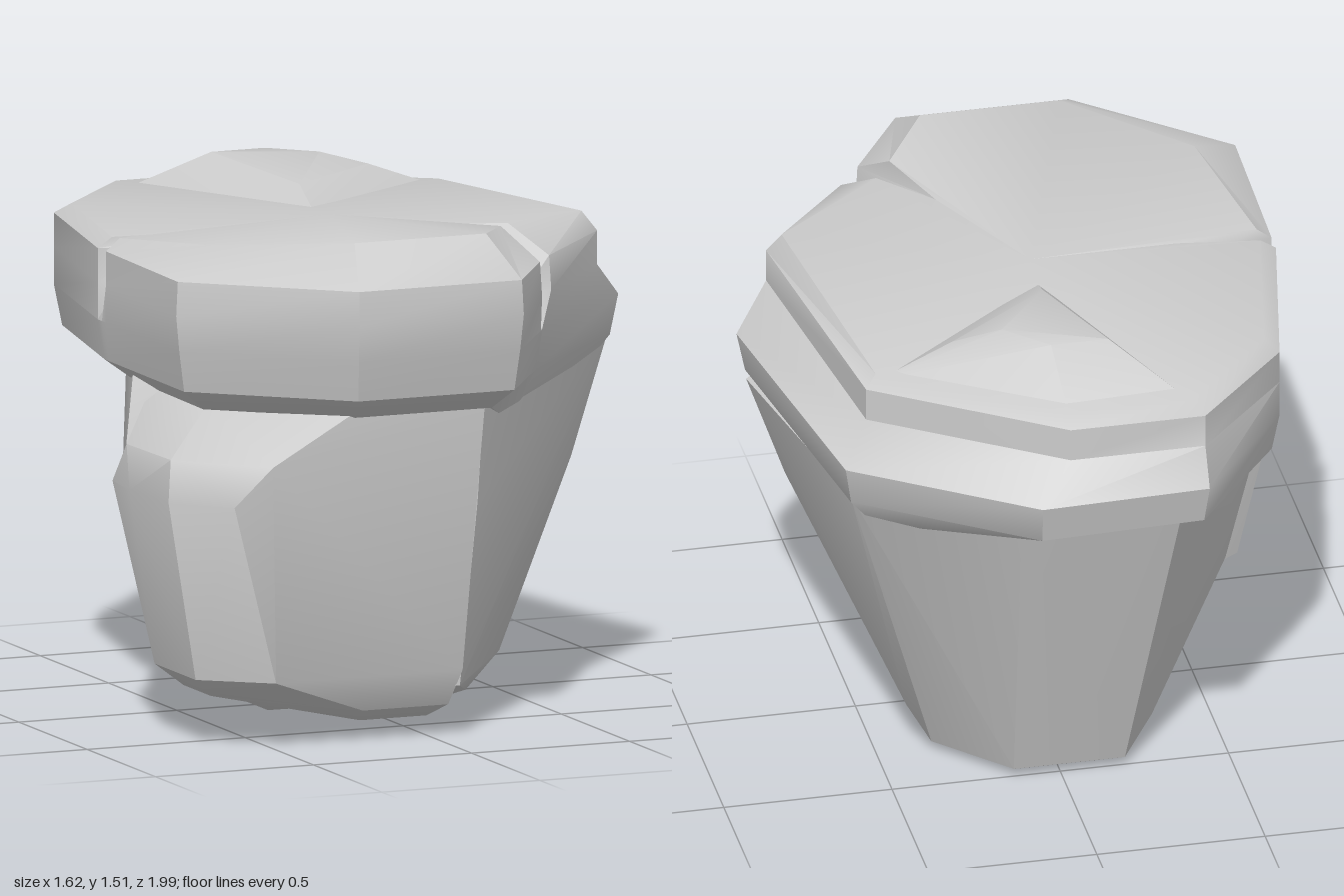
import * as THREE from 'three';
import { ConvexGeometry } from 'three/addons/geometries/ConvexGeometry.js';
import { toCreasedNormals } from 'three/addons/utils/BufferGeometryUtils.js';

const stone = new THREE.MeshStandardMaterial({ color: 0xcccccc });

function addPart(group, name, geometry) {
  const mesh = new THREE.Mesh(toCreasedNormals(geometry, 0.6), stone);
  mesh.name = name;
  group.add(mesh);
}

// One level of corners [x, z] at height y
function level(y, corners) {
  return corners.map(([x, z]) => new THREE.Vector3(x, y, z));
}

// Skin over rings of points, closed by a fan at both ends
function loft(rings, bottom, top) {
  const n = rings[0].length;
  const low = rings.length * n;
  const index = [];
  for (let i = 0; i < n; i++) {
    const j = (i + 1) % n;
    for (let a = i, b = j; a < low - n; a += n, b += n) {
      index.push(a, a + n, b, b, a + n, b + n);
    }
    index.push(low, i, j, low + 1, low - n + j, low - n + i);
  }
  const geometry = new THREE.BufferGeometry();
  geometry.setFromPoints([...rings.flat(), bottom, top]);
  geometry.setIndex(index);
  return geometry;
}

// Tapering main body with its small foot
function mainBody() {
  const foot = [[0.34, 0.17], [0.34, -0.3], [0.14, -0.51], [-0.19, -0.51], [-0.32, -0.28], [-0.32, 0.15]];
  const sole = foot.map(([x, z]) => [x * 0.8, -0.17 + (z + 0.17) * 0.85]);
  return new ConvexGeometry([
    ...level(1.04, [[0.12, 0.82], [0.79, 0.16], [0.64, -0.58], [0.19, -0.85], [-0.3, -0.82], [-0.68, 0.1]]),
    ...level(0.7, [[0.11, 0.79], [0.67, 0.18], [-0.76, 0.2]]),
    ...level(0.2, [[-0.67, 0.3]]),
    ...level(0.15, [[0.08, 0.73], [0.42, 0.23], [0.41, -0.28], [0.14, -0.53], [-0.2, -0.53], [-0.37, -0.25]]),
    ...level(0.03, foot),
    ...level(0, sole),
  ]);
}

// Front block bulging out under the cap, with a narrow toe
function frontBlock() {
  return new ConvexGeometry([
    ...level(0.99, [[-0.3, 0.82], [0.12, 0.82], [-0.62, 0.5], [-0.62, 0.1], [0.1, 0.1]]),
    ...level(0.85, [[-0.55, 0.82], [-0.77, 0.58], [-0.78, 0.28]]),
    ...level(0.73, [[-0.65, 0.77], [-0.79, 0.61], [-0.81, 0.37], [-0.79, 0.2]]),
    ...level(0.2, [[-0.51, 0.75], [0.08, 0.75], [-0.7, 0.6], [-0.7, 0.3]]),
    ...level(0.14, [[-0.63, 0.55], [-0.63, 0.35], [-0.45, 0.22], [0.08, 0.22]]),
    ...level(0.09, [[-0.21, 0.69], [0.06, 0.69]]),
    ...level(0.045, [[-0.18, 0.6], [0.03, 0.6], [-0.18, 0.33], [0.03, 0.33]]),
  ]);
}

// Overhanging cap, split by a crack at the front right and one on the left
function cap() {
  // Outline from the back left, past the right and front, to the left
  const outline = [
    [-0.34, -0.98], [0.16, -1], [0.67, -0.65], [0.81, 0.2],
    [0.41, 0.635], [0.37, 0.69], [0.34, 0.73], [0.17, 0.99], [-0.35, 0.99],
    [-0.77, 0.62], [-0.75, 0.06], [-0.75, 0.03], [-0.75, 0], [-0.63, -0.6],
  ];
  // The first corners step inwards at the upper rim
  const rim = [[-0.34, -0.92], [0.06, -0.92], [0.59, -0.56], [0.7, 0.3]];
  // Outline corners that sink towards the inner end of a crack
  const crackEnds = { 5: [0.18, 0.37], 11: [-0.46, 0.03] };
  // Height, width at the front, width elsewhere, crack depth
  const steps = [
    [0.98, 0.83, 0.84, 0], [1.05, 0.95, 0.97, 0], [1.17, 0.98, 1, 0],
    [1.28, 1, 1, 0.2], [1.38, 0.99, 1, 0.5], [1.41, 0.8, 0.94, 1],
  ];
  const rings = steps.map(([y, front, side, depth], r) => outline.map((corner, i) => {
    const [x, z] = r > 2 && rim[i] || corner;
    const size = i > 3 && i < 10 ? front : side;
    const point = new THREE.Vector3(x * size, y, z * size);
    const end = crackEnds[i];
    if (end) point.lerp(new THREE.Vector3(end[0], y, end[1]), depth);
    // The front crack closes to a point at its lower end
    if (r < 3 && (i === 4 || i === 6)) {
      point.lerp(new THREE.Vector3(outline[5][0] * size, y, outline[5][1] * size), 0.75);
    }
    // The underside dips at the right, the top rises to the front
    if (r === 0 && i > 1 && i < 7) point.y -= i < 4 ? 0.06 : 0.09;
    if (r === steps.length - 1) point.y += 0.1 * Math.max(0, point.z);
    return point;
  }));
  return loft(rings, new THREE.Vector3(0, 1, 0), new THREE.Vector3(-0.02, 1.43, 0));
}

// Low raised ridge at the back of the cap's top
function topRidge() {
  return new ConvexGeometry([
    ...level(1.39, [[-0.31, -0.83], [0.05, -0.85], [0.55, -0.53], [-0.02, -0.06]]),
    ...level(1.515, [[-0.11, -0.65], [0.06, -0.65], [0.18, -0.53]]),
    ...level(1.475, [[0.32, -0.5], [0, -0.26]]),
  ]);
}

export function createModel() {
  const group = new THREE.Group();
  group.name = 'rock';
  addPart(group, 'mainBody', mainBody());
  addPart(group, 'frontBlock', frontBlock());
  addPart(group, 'cap', cap());
  addPart(group, 'topRidge', topRidge());
  return group;
}
